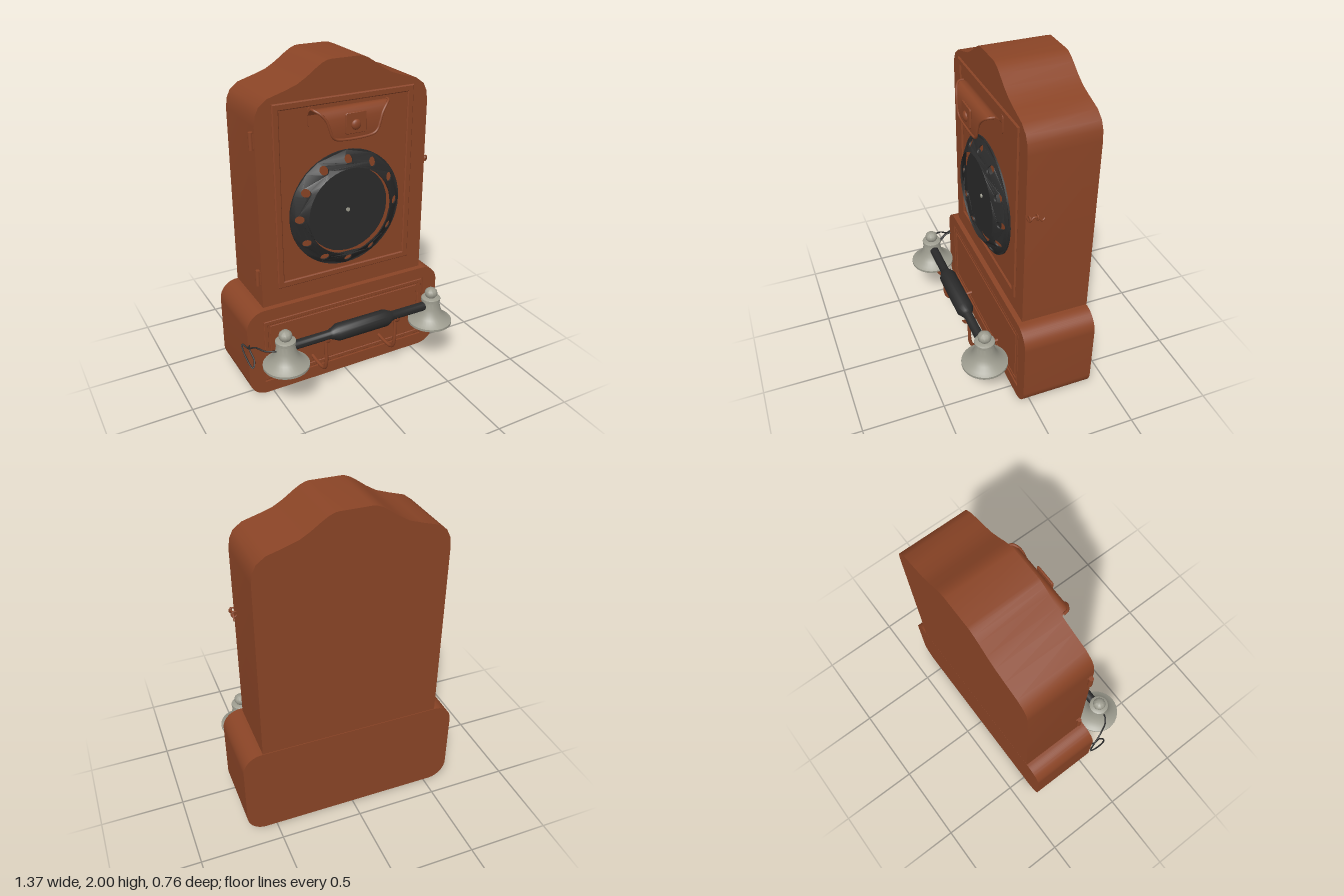
import * as THREE from 'three';
import { toCreasedNormals } from 'three/addons/utils/BufferGeometryUtils.js';

const CX = 0.015; // centre line of the cabinet
const wood = new THREE.MeshStandardMaterial({ name: 'red brown wood', color: 0x8a4426 });
const black = new THREE.MeshStandardMaterial({ name: 'black', color: 0x2a2a2a, side: THREE.DoubleSide });
const grey = new THREE.MeshStandardMaterial({ name: 'warm grey metal', color: 0x9d9c8f, side: THREE.DoubleSide });
const sheet = new THREE.MeshStandardMaterial({ name: 'red brown sheet', color: 0x8a4426, side: THREE.DoubleSide });

const V = (x, y, z) => new THREE.Vector3(x, y, z);

export function createModel() {
  const model = new THREE.Group();
  model.name = 'wallTelephone';

  const add = (name, geo, mat, x = 0, y = 0, z = 0) => {
    const mesh = new THREE.Mesh(geo, mat);
    mesh.name = name;
    mesh.position.set(x, y, z);
    model.add(mesh);
    return mesh;
  };
  const extrude = (shape, depth, bevel = 0) => toCreasedNormals(new THREE.ExtrudeGeometry(shape, {
    depth, curveSegments: 10, bevelEnabled: bevel > 0, bevelThickness: bevel, bevelSize: bevel,
    bevelOffset: -bevel, bevelSegments: 1,
  }), 0.5);
  const tube = (name, pts, r, mat, n = 40) =>
    add(name, new THREE.TubeGeometry(new THREE.CatmullRomCurve3(pts), n, r, 8), mat);
  const lathe = (pts, n = 32) =>
    toCreasedNormals(new THREE.LatheGeometry(pts.map(p => new THREE.Vector2(...p)), n), 0.6);

  // Rectangle centred on the cabinet line, with optional round corners
  const rect = (hw, y0, y1, r = 0, C = THREE.Shape) => {
    const s = new C();
    if (!r) {
      s.moveTo(-hw, y0); s.lineTo(hw, y0); s.lineTo(hw, y1); s.lineTo(-hw, y1); s.closePath();
      return s;
    }
    s.moveTo(-hw + r, y0);
    s.lineTo(hw - r, y0); s.absarc(hw - r, y0 + r, r, -Math.PI / 2, 0);
    s.lineTo(hw, y1 - r); s.absarc(hw - r, y1 - r, r, 0, Math.PI / 2);
    s.lineTo(-hw + r, y1); s.absarc(-hw + r, y1 - r, r, Math.PI / 2, Math.PI);
    s.lineTo(-hw, y0 + r); s.absarc(-hw + r, y0 + r, r, Math.PI, Math.PI * 1.5);
    return s;
  };
  const frame = (hw, y0, y1, w) => {
    const s = rect(hw, y0, y1);
    s.holes.push(rect(hw - w, y0 + w, y1 - w, 0, THREE.Path));
    return s;
  };

  // Upper cabinet with the scalloped crest
  const crest = [[0.545, 1.69], [0.537, 1.75], [0.515, 1.795], [0.465, 1.832], [0.37, 1.86], [0.295, 1.885],
    [0.235, 1.92], [0.175, 1.963], [0.14, 1.985], [0.11, 1.997], [0.09, 2.0]];
  const upper = new THREE.Shape();
  upper.moveTo(-0.545, 0.588);
  upper.lineTo(0.545, 0.588);
  crest.forEach(([x, y]) => upper.lineTo(x, y));
  [...crest].reverse().forEach(([x, y]) => upper.lineTo(-x, y));
  upper.closePath();
  add('upperCabinet', extrude(upper, 0.41), wood, CX, 0, -0.38);
  add('doorMoulding', extrude(frame(0.445, 0.69, 1.80, 0.04), 0.004, 0.006), wood, CX, 0, 0.031);

  // Lower cabinet with a grooved front panel
  add('lowerCabinet', extrude(rect(0.665, 0, 0.584, 0.115), 0.43), wood, CX, 0, -0.38);
  const front = rect(0.665, 0, 0.584, 0.115);
  front.holes.push(rect(0.565, 0.08, 0.51, 0, THREE.Path));
  add('lowerFront', extrude(front, 0.01), wood, CX, 0, 0.05);
  add('panelMoulding', extrude(frame(0.555, 0.09, 0.50, 0.025), 0.004, 0.003), wood, CX, 0, 0.05);
  add('innerPanel', extrude(rect(0.518, 0.12, 0.465), 0.004, 0.002), wood, CX, 0, 0.05);

  // Dial: sloping finger ring, sunken disc and centre pin
  const ring = new THREE.Shape().absarc(0, 0, 0.36, 0, Math.PI * 2);
  ring.holes.push(new THREE.Path().absarc(0, 0, 0.267, 0, Math.PI * 2, true));
  for (let i = 0; i < 12; i++) {
    const a = i * Math.PI / 6;
    ring.holes.push(new THREE.Path().absarc(0.312 * Math.cos(a), 0.312 * Math.sin(a), 0.025, 0, Math.PI * 2, true));
  }
  const ringGeo = new THREE.ExtrudeGeometry(ring, { depth: 0.01, bevelEnabled: false, curveSegments: 24 });
  const p = ringGeo.attributes.position;
  for (let i = 0; i < p.count; i++) {
    const r = Math.hypot(p.getX(i), p.getY(i));
    p.setZ(i, p.getZ(i) + 0.06 * (0.36 - r) / 0.093);
  }
  ringGeo.computeVertexNormals();
  add('dialRing', toCreasedNormals(ringGeo, 0.5), black, CX, 1.12, 0.032);
  const disc = add('dialDisc', new THREE.CylinderGeometry(0.262, 0.262, 0.02, 32), black, CX, 1.12, 0.055);
  disc.rotation.x = Math.PI / 2;
  const pin = add('dialPin', new THREE.CylinderGeometry(0.012, 0.012, 0.008, 16), grey, CX, 1.12, 0.068);
  pin.rotation.x = Math.PI / 2;

  // Curved rest above the dial: a sheet that arches forward and narrows; [y, z, half width]
  const path = [[1.70, 0.03, 0.235], [1.735, 0.05, 0.235], [1.756, 0.08, 0.235], [1.755, 0.108, 0.23],
    [1.738, 0.13, 0.205], [1.70, 0.142, 0.175], [1.65, 0.146, 0.157], [1.61, 0.146, 0.142], [1.588, 0.144, 0.115]];
  const pos = [], idx = [];
  path.forEach(([y, z, w], i) => {
    pos.push(-w, y, z, w, y, z);
    if (i) idx.push(2 * i - 2, 2 * i, 2 * i - 1, 2 * i - 1, 2 * i, 2 * i + 1);
  });
  const restGeo = new THREE.BufferGeometry();
  restGeo.setAttribute('position', new THREE.Float32BufferAttribute(pos, 3));
  restGeo.setIndex(idx);
  restGeo.computeVertexNormals();
  add('curvedRest', restGeo, sheet, CX);
  const rim = path.slice(2);
  tube('restRim', [...rim.map(([y, z, w]) => V(CX - w, y, z)),
    ...rim.reverse().map(([y, z, w]) => V(CX + w, y, z))], 0.008, wood, 70);
  add('restBackPlate', extrude(rect(0.235, 1.64, 1.76, 0.025), 0.006), wood, CX, 0, 0.03);
  add('restBadge', extrude(rect(0.065, 1.61, 1.73, 0.012), 0.005, 0.003), wood, CX, 0, 0.146);
  const knob = add('restKnob', new THREE.SphereGeometry(0.03, 16, 12), wood, CX, 1.66, 0.154);
  knob.scale.z = 0.5;

  // Handset bar with a thicker grip
  const bar = lathe([[0, -0.49], [0.028, -0.49], [0.028, -0.22], [0.034, -0.205], [0.053, -0.165],
    [0.053, 0.165], [0.034, 0.205], [0.028, 0.22], [0.028, 0.49], [0, 0.49]], 20);
  add('handsetBar', bar, black, CX, 0.424, 0.242).rotation.z = -Math.PI / 2;

  // Bell-shaped ends, hollow underneath
  const bell = lathe([[0, 0.36], [0.055, 0.355], [0.1, 0.325], [0.122, 0.302], [0.138, 0.302], [0.138, 0.317],
    [0.118, 0.328], [0.09, 0.352], [0.072, 0.38], [0.062, 0.41], [0.054, 0.452], [0.06, 0.456], [0.06, 0.475],
    [0.052, 0.48], [0.03, 0.482], [0.038, 0.495], [0.04, 0.508], [0.036, 0.524], [0.022, 0.537], [0, 0.541]]);
  for (const s of [-1, 1]) {
    const side = s < 0 ? 'right' : 'left';
    add(side + 'Bell', bell, grey, CX + s * 0.502, 0, 0.243);

    // Bent arm and cradle carrying the handset
    const x = CX + s * 0.24;
    tube(side + 'Arm', [V(x, 0.165, 0.05), V(x, 0.16, 0.12), V(x, 0.165, 0.19), V(x, 0.185, 0.225),
      V(x, 0.23, 0.241), V(x, 0.31, 0.243), V(x, 0.385, 0.243)], 0.011, wood);
    const cradle = add(side + 'Cradle', new THREE.TorusGeometry(0.038, 0.009, 8, 16, Math.PI), wood, x, 0.424, 0.243);
    cradle.rotation.set(Math.PI, Math.PI / 2, 0);
  }

  // Loose cord at the right-hand bell
  tube('cord', [V(-0.5, 0.40, 0.243), V(-0.56, 0.42, 0.24), V(-0.60, 0.415, 0.21), V(-0.635, 0.41, 0.14),
    V(-0.655, 0.375, 0.08), V(-0.675, 0.38, 0.03), V(-0.682, 0.34, 0.09), V(-0.665, 0.29, 0.165),
    V(-0.645, 0.32, 0.14), V(-0.65, 0.37, 0.08), V(-0.625, 0.38, 0.03)], 0.005, black, 80);

  // Door hinges and hook latch
  for (const y of [0.78, 1.61]) {
    add('hingeBarrel', new THREE.CylinderGeometry(0.013, 0.013, 0.1, 12), wood, -0.543, y, 0.005);
    add('hingeLeaf', new THREE.BoxGeometry(0.014, 0.085, 0.03), wood, -0.53, y, 0.005);
  }
  tube('latchHook', [V(0.575, 1.335, 0.03), V(0.58, 1.31, 0.015), V(0.58, 1.33, -0.01), V(0.58, 1.32, -0.035),
    V(0.582, 1.30, -0.055), V(0.58, 1.31, -0.07)], 0.006, wood, 30);
  for (const z of [0.015, -0.03])
    add('latchEye', new THREE.TorusGeometry(0.016, 0.005, 6, 14), wood, 0.573, 1.322, z);

  return model;
}
